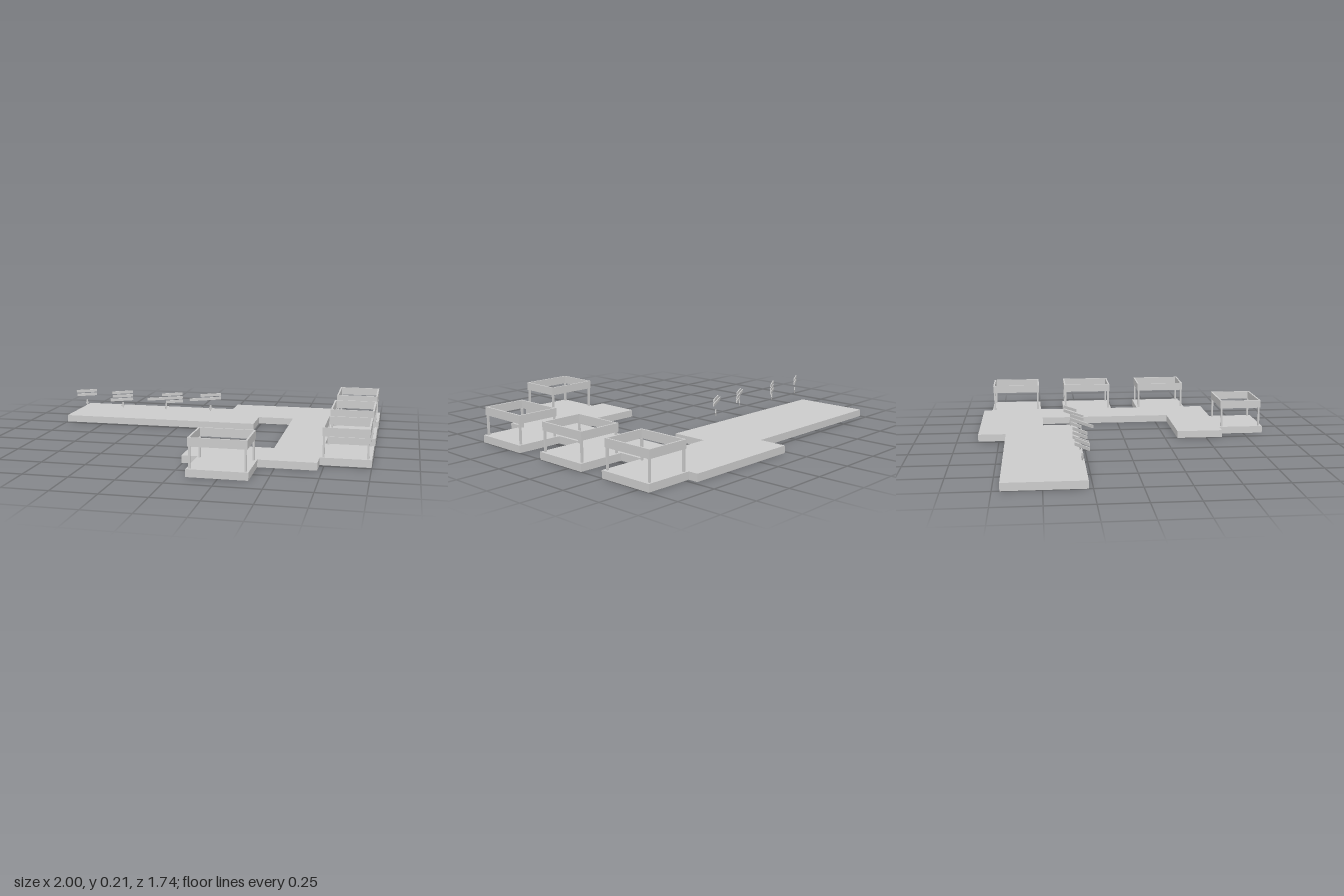
import * as THREE from 'three';

const SLAB = 0.042; // floor height
const mat = new THREE.MeshStandardMaterial({ color: 0xcccccc, flatShading: true });

function add(parent, name, geometry, x = 0, y = 0, z = 0) {
  const mesh = new THREE.Mesh(geometry, mat);
  mesh.name = name;
  mesh.position.set(x, y, z);
  parent.add(mesh);
  return mesh;
}

const outline = (pts) => pts.map(([x, y]) => new THREE.Vector2(x, y));
const rect = (w, d) => outline([[-w / 2, -d / 2], [w / 2, -d / 2], [w / 2, d / 2], [-w / 2, d / 2]]);

// Extrudes an x/z plan upwards from y = 0
function plan(shape, height) {
  return new THREE.ExtrudeGeometry(shape, { depth: height, bevelEnabled: false })
    .rotateX(Math.PI / 2).translate(0, height, 0);
}

// Platform with four corner posts and an open rectangular fascia on top
function pavilion([x0, x1, z0, z1], [rx0, rx1, rz0, rz1]) {
  const g = new THREE.Group();
  g.name = 'pavilion';
  add(g, 'pavilionFloor', new THREE.BoxGeometry(x1 - x0, SLAB, z1 - z0),
    (x0 + x1) / 2, SLAB / 2, (z0 + z1) / 2);

  const w = rx1 - rx0, d = rz1 - rz0, wall = 0.01, low = 0.157, high = 0.204;
  const cx = (rx0 + rx1) / 2, cz = (rz0 + rz1) / 2;
  const ring = new THREE.Shape(rect(w, d));
  ring.holes.push(new THREE.Path(rect(w - 2 * wall, d - 2 * wall)));
  add(g, 'fascia', plan(ring, high - low), cx, low, cz);

  const post = new THREE.BoxGeometry(0.011, low - SLAB, 0.011);
  for (const sx of [-1, 1]) for (const sz of [-1, 1]) {
    add(g, 'post', post, cx + sx * (w / 2 - 0.009), (low + SLAB) / 2, cz + sz * (d / 2 - 0.009));
  }
  return g;
}

// Hanging marker: blank plates flush at one end, with a small arrow beneath
function marker(x, z, rows, arrowX, arrowY) {
  const g = new THREE.Group();
  g.name = 'directionMarker';
  g.position.set(x, 0, z);
  g.rotation.y = Math.PI / 6;
  const along = 1 / Math.cos(Math.PI / 6);
  rows.forEach((run, i) => {
    const len = run * along;
    add(g, 'blankPlate', new THREE.BoxGeometry(len, 0.017, 0.006), -len / 2, 0.205 - i * 0.0235, 0);
  });
  const arrow = new THREE.Shape(outline([
    [0, -0.019], [0.011, 0.002], [0.005, 0.002], [0.005, 0.019],
    [-0.005, 0.019], [-0.005, 0.002], [-0.011, 0.002],
  ]));
  add(g, 'arrow', new THREE.ExtrudeGeometry(arrow, { depth: 0.006, bevelEnabled: false }),
    (arrowX - x) * along, arrowY, -0.003);
  return g;
}

export function createModel() {
  const model = new THREE.Group();
  model.name = 'plazaPlan';

  // Main walkway
  const walk = new THREE.Shape(outline([
    [-1, -0.71], [0.02, -0.71], [0.02, -0.873], [0.725, -0.873], [0.725, 0.6], [-0.005, 0.6],
    [-0.005, 0.325], [0.457, 0.325], [0.457, -0.485], [0.237, -0.485], [0.237, -0.273], [-1, -0.273],
  ]));
  add(model, 'walkway', plan(walk, SLAB));

  // Three pavilions along the side, one at the front
  for (const [z0, z1] of [[-0.817, -0.495], [-0.342, -0.018], [0.157, 0.483]]) {
    model.add(pavilion([0.725, 1, z0, z1], [0.735, 0.988, z0 + 0.007, z1 - 0.01]));
  }
  model.add(pavilion([0.083, 0.408, 0.6, 0.87], [0.09, 0.4, 0.607, 0.858]));

  // Floating markers above the long arm
  model.add(marker(-0.813, -0.33, [0.115, 0.112], -0.87, 0.129));
  model.add(marker(-0.567, -0.33, [0.118, 0.116, 0.128], -0.625, 0.122));
  model.add(marker(-0.235, -0.33, [0.118, 0.2, 0.095], -0.33, 0.127));
  model.add(marker(0.01, -0.36, [0.118, 0.18], -0.05, 0.121));

  return model;
}
